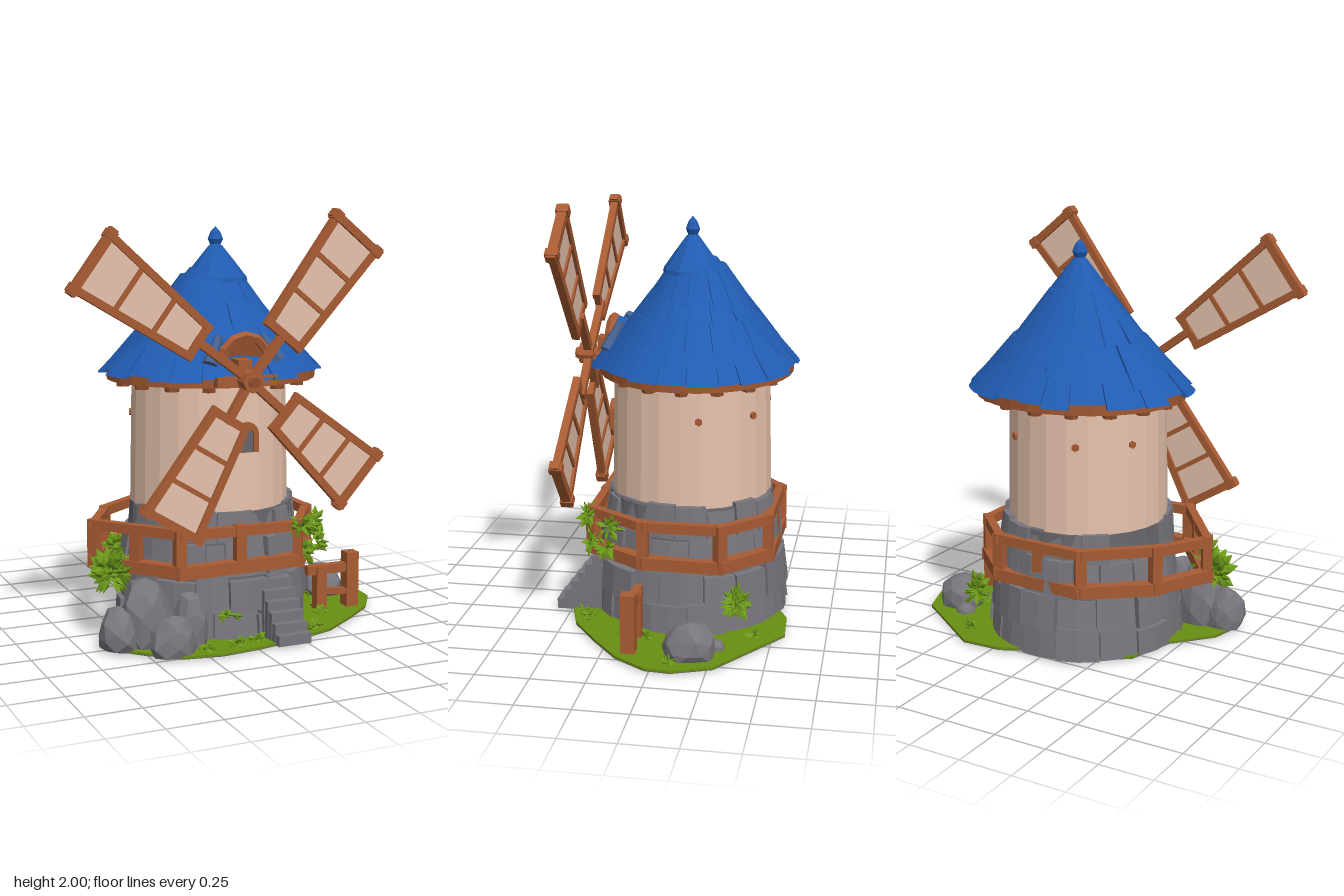
import * as THREE from 'three';
import { mergeGeometries } from 'three/addons/utils/BufferGeometryUtils.js';

const V = (x, y, z) => new THREE.Vector3(x, y, z);
const mat = (name, color) => {
  const m = new THREE.MeshStandardMaterial({ color });
  m.name = name;
  return m;
};

export function createModel() {
  const root = new THREE.Group();
  root.name = 'windmill';
  const blue = mat('roofBlue', 0x215cb2), slate = mat('slateBlue', 0x45608f), wood = mat('wood', 0xa75b33);
  const darkWood = mat('darkWood', 0x8f4e2c), plaster = mat('plaster', 0xe6c2ac), stone = mat('stone', 0x78767d);
  const darkStone = mat('darkStone', 0x66656b), grass = mat('grass', 0x688f12), leaf = mat('leaf', 0x6c9a1a);
  const earth = mat('earth', 0x66655a);

  let seed = 7;
  const rnd = (a = 0, b = 1) => {
    seed = (seed * 16807) % 2147483647;
    return a + (b - a) * (seed / 2147483647);
  };

  // Faceted copy of a geometry, ready for merging
  const flat = (g) => {
    const f = g.index ? g.toNonIndexed() : g;
    f.deleteAttribute('uv');
    f.computeVertexNormals();
    return f;
  };
  const add = (name, geos, material, parent = root) => {
    const mesh = new THREE.Mesh(mergeGeometries([].concat(geos).map(flat)), material);
    mesh.name = name;
    parent.add(mesh);
  };
  const box = (w, h, d, x, y, z) => new THREE.BoxGeometry(w, h, d).translate(x, y, z);
  // Straight beam between two points
  const beam = (p, q, h, w, up = V(0, 1, 0)) => {
    const x = q.clone().sub(p), len = x.length();
    x.normalize();
    const z = x.clone().cross(up).normalize(), y = z.clone().cross(x);
    const m = new THREE.Matrix4().makeBasis(x, y, z).setPosition(p.clone().add(q).multiplyScalar(0.5));
    return new THREE.BoxGeometry(len, h, w).applyMatrix4(m);
  };
  // Block bent around the vertical axis; lo and hi are [inner radius, outer radius, y]
  const block = (a0, a1, lo, hi) => {
    const g = new THREE.BoxGeometry(1, 1, 1, 2, 1, 1), p = g.attributes.position;
    for (let i = 0; i < p.count; i++) {
      const a = a0 + (a1 - a0) * (p.getX(i) + 0.5), e = p.getY(i) > 0 ? hi : lo;
      const r = p.getZ(i) > 0 ? e[1] : e[0];
      p.setXYZ(i, Math.sin(a) * r, e[2], Math.cos(a) * r);
    }
    return g;
  };
  // Uneven angles around a full circle
  const splits = (n) => {
    const off = rnd(0, 1), a = [];
    for (let i = 0; i < n; i++) a.push((i + off + rnd(-0.25, 0.25)) / n * Math.PI * 2);
    return [...a, a[0] + Math.PI * 2];
  };

  // Ground
  const outline = [[0.1, -0.5], [0.2, -0.55], [0.4, -0.56], [0.6, -0.42], [0.8, -0.28], [0.87, -0.1], [0.86, 0.02],
    [0.76, 0.17], [0.6, 0.3], [0.42, 0.43], [0.2, 0.5], [0, 0.55], [-0.2, 0.57], [-0.38, 0.54], [-0.52, 0.42],
    [-0.66, 0.27], [-0.62, 0.1], [-0.46, -0.08], [-0.39, -0.32], [-0.16, -0.48]];
  const plate = (depth, y) => new THREE.ExtrudeGeometry(
    new THREE.Shape(outline.map(([x, z]) => new THREE.Vector2(x, -z))), { depth, bevelEnabled: false })
    .rotateX(-Math.PI / 2).translate(0, y, 0);
  add('groundUnderside', plate(0.004, 0), earth);
  add('ground', plate(0.01, 0.004), grass);

  // Stone base: core with courses of uneven blocks
  const base = new THREE.Group();
  base.name = 'stoneBase';
  base.position.set(0.01, 0, -0.06);
  root.add(base);
  add('baseCore', new THREE.CylinderGeometry(0.395, 0.44, 0.59, 24).translate(0, 0.3, 0), darkStone, base);
  const courses = [[0.004, 0.14, 0.475, 0.465], [0.14, 0.3, 0.465, 0.45], [0.3, 0.46, 0.445, 0.425], [0.46, 0.605, 0.42, 0.408]];
  const blocks = [];
  courses.forEach(([y0, y1, r0, r1], k) => {
    const a = splits(15 + k);
    for (let i = 0; i < a.length - 1; i++) {
      const j = rnd(-0.016, 0.012), t = k < 3 ? rnd(-0.025, 0.02) : rnd(-0.02, 0.012);
      blocks.push(block(a[i] + 0.006, a[i + 1] - 0.006, [0.34, r0 + j, y0], [0.34, r1 + j + rnd(-0.012, 0.006), y1 + t]));
    }
  });
  add('baseBlocks', blocks, stone, base);

  // Steps
  const steps = [];
  for (let i = 0; i < 6; i++) {
    const h = 0.05 + i * 0.045, z = 0.565 - i * 0.034;
    steps.push(box(0.165, h, z - 0.32, 0.165 - i * 0.003, h / 2 + 0.004, (z + 0.32) / 2));
  }
  add('steps', steps, stone);

  // Tower wall
  add('towerWall', new THREE.CylinderGeometry(0.372, 0.384, 0.62, 24).translate(0, 0.9, -0.06), plaster);
  const studs = [1.8, 2.55, 3.5, 4.2].map((a, i) => new THREE.CylinderGeometry(0.018, 0.018, 0.02, 6)
    .rotateX(Math.PI / 2).translate(0, 1.01, 0.376).rotateY(a + i * 0.01).translate(0, 0, -0.06));
  add('wallStuds', studs, wood);

  // Small arched window
  const arch = (w, h) => {
    const s = new THREE.Shape().moveTo(-w, 0).lineTo(w, 0).lineTo(w, h);
    s.absarc(0, h, w, 0, Math.PI, false);
    return s.lineTo(-w, 0);
  };
  const frame = arch(0.056, 0.085);
  frame.holes.push(arch(0.03, 0.08));
  add('windowFrame', new THREE.ExtrudeGeometry(frame, { depth: 0.045, bevelEnabled: false, curveSegments: 5 })
    .translate(0.03, 0.875, 0.285), wood);
  add('windowPane', new THREE.ExtrudeGeometry(arch(0.035, 0.08), { depth: 0.008, bevelEnabled: false, curveSegments: 5 })
    .translate(0.03, 0.875, 0.312), darkStone);

  // Roof
  const roof = new THREE.Group();
  roof.name = 'roof';
  roof.position.set(0.025, 0, -0.085);
  roof.scale.set(1.05, 1, 0.94);
  root.add(roof);
  add('roofCore', new THREE.CylinderGeometry(0.1, 0.475, 0.48, 24).translate(0, 1.47, 0), blue, roof);
  const rows = [[1.225, 0.505, 1.35, 0.39, 22], [1.3, 0.432, 1.46, 0.3, 19], [1.405, 0.34, 1.56, 0.218, 16], [1.51, 0.252, 1.68, 0.13, 12]];
  const shingles = [];
  rows.forEach(([y0, r0, y1, r1, n], k) => {
    const a = splits(n);
    for (let i = 0; i < n; i++) {
      const d = k ? rnd(-0.03, 0.02) : rnd(-0.012, 0.012), j = rnd(0, 0.016);
      shingles.push(block(a[i] + 0.003, a[i + 1] - 0.003, [r0 - d - 0.035, r0 - d + j, y0 + d], [r1 - 0.04, r1 + j, y1]));
    }
  });
  add('shingles', shingles, blue, roof);
  const top = [[0, 1.63], [0.15, 1.645], [0.145, 1.665], [0.085, 1.745], [0.034, 1.81], [0.024, 1.82], [0.036, 1.845], [0.022, 1.88], [0, 1.905]];
  add('roofCapAndFinial', new THREE.LatheGeometry(top.map(([r, y]) => new THREE.Vector2(r, y)), 10).translate(0.014, 0, 0.02), blue, roof);

  // Eave ring and the beam ends under it
  const eaves = [], ends = [];
  for (let i = 0; i < 16; i++) {
    const a = i / 16 * Math.PI * 2;
    eaves.push(block(a, a + Math.PI / 8, [0.34, 0.488, 1.185], [0.34, 0.492, 1.235]));
    ends.push(new THREE.CylinderGeometry(0.035, 0.032, 0.03, 6).translate(0, 1.175, 0.43).rotateY(a));
  }
  add('eaveRing', eaves, wood, roof);
  add('beamEnds', ends, darkWood, roof);

  // Dormer hood over the axle
  add('dormerHood', new THREE.CylinderGeometry(0.115, 0.13, 0.19, 8, 1, false, -Math.PI / 2, Math.PI).rotateX(-Math.PI / 2)
    .translate(0.02, 1.29, 0.215), blue);
  add('dormerArch', new THREE.TorusGeometry(0.118, 0.024, 5, 6, Math.PI).translate(0.02, 1.295, 0.315), wood);
  add('dormerBack', new THREE.CircleGeometry(0.12, 8, 0, Math.PI).translate(0.02, 1.285, 0.312), darkWood);
  add('dormerSideTiles', [-1, 1].map((s) => new THREE.CylinderGeometry(0.02, 0.04, 0.15, 6)
    .rotateX(-0.35).rotateZ(s * 0.5).translate(0.02 + s * 0.14, 1.35, 0.285)), slate);
  add('axleSupport', [box(0.3, 0.05, 0.08, 0, 1.215, 0.35), box(0.07, 0.07, 0.16, -0.016, 1.28, 0.32)], wood);

  // Sails: [angle in degrees, inner reach, outer reach, inner width, outer width]
  const sails = new THREE.Group();
  sails.name = 'sails';
  sails.position.set(-0.016, 1.225, 0.455);
  root.add(sails);
  const cyl = (r, len, z, n) => new THREE.CylinderGeometry(r, r, len, n).rotateX(Math.PI / 2).translate(0, 0, z);
  add('hub', [cyl(0.052, 0.07, 0, 8), cyl(0.03, 0.26, -0.08, 8)], wood, sails);
  add('hubCap', cyl(0.024, 0.03, 0.043, 8), darkWood, sails);
  const F = V(0, 0, 1);
  for (const [deg, r0, r1, w0, w1] of [[51, 0.26, 0.838, 0.19, 0.26], [143.7, 0.32, 0.922, 0.15, 0.28],
    [238.5, 0.2, 0.735, 0.17, 0.28], [318.5, 0.235, 0.74, 0.175, 0.285]]) {
    const g = new THREE.Group();
    g.name = 'sail';
    g.rotation.z = deg * Math.PI / 180;
    sails.add(g);
    const half = (x) => (w0 + (w1 - w0) * (x - r0) / (r1 - r0)) / 2;
    const bars = [beam(V(0, 0, -0.008), V(r0 + 0.02, 0, -0.008), 0.036, 0.036, F)];
    for (const s of [-1, 1]) bars.push(beam(V(r0 - 0.02, s * half(r0), 0), V(r1 + 0.015, s * half(r1), 0), 0.036, 0.034, F));
    for (let i = 0; i < 4; i++) {
      const x = r0 + (r1 - r0) * i / 3, e = half(x) + (i === 3 ? 0.03 : 0);
      const t = i % 3 ? 0.022 : 0.038;
      bars.push(beam(V(x, -e, 0), V(x, e, 0), i === 3 ? 0.044 : 0.028, t, F));
    }
    for (const s of [-1, 1]) bars.push(box(0.048, 0.04, 0.058, r1, s * half(r1), 0));
    add('sailFrame', bars, wood, g);
    const s = new THREE.Shape().moveTo(r0, -half(r0)).lineTo(r1, -half(r1)).lineTo(r1, half(r1)).lineTo(r0, half(r0));
    add('sailCloth', new THREE.ExtrudeGeometry(s, { depth: 0.008, bevelEnabled: false }).translate(0, 0, -0.004), plaster, g);
  }

  // Railing around the base
  const ring = [[-0.61, 0], [-0.33, 0.375], [0.27, 0.375], [0.45, 0.1], [0.45, -0.26], [0.25, -0.46], [-0.2, -0.47], [-0.47, -0.25]];
  const rails = [], posts = [];
  ring.forEach(([x, z], i) => {
    const [u, w] = ring[(i + 1) % ring.length], p = V(x, 0, z), q = V(u, 0, w);
    const d = q.clone().sub(p).normalize().multiplyScalar(0.02);
    const at = (v, y, s) => v.clone().addScaledVector(d, s).setY(y);
    rails.push(beam(at(p, 0.35, -1), at(q, 0.35 + rnd(-0.01, 0.01), 1), 0.058, 0.06));
    rails.push(beam(at(p, 0.525, -1), at(q, 0.525 + rnd(-0.01, 0.01), 1), 0.046, 0.04));
    const n = Math.max(1, Math.round(p.distanceTo(q) / 0.29));
    for (let k = 0; k < n; k++) {
      const c = p.clone().lerp(q, k / n);
      posts.push(new THREE.BoxGeometry(0.052, 0.21, 0.045).rotateY(Math.atan2(-d.z, d.x)).translate(c.x, 0.445, c.z));
    }
  });
  add('rails', rails, wood);
  add('railPosts', posts, wood);

  // Short fence at the side
  add('fence', [box(0.066, 0.28, 0.066, 0.695, 0.15, 0.12), box(0.055, 0.22, 0.055, 0.525, 0.12, 0.12),
    beam(V(0.45, 0.215, 0.12), V(0.73, 0.215, 0.12), 0.045, 0.04),
    beam(V(0.5, 0.11, 0.13), V(0.7, 0.09, 0.13), 0.03, 0.03)], wood);

  // Boulders
  const boulder = (x, z, rx, h, rz) => {
    const g = new THREE.IcosahedronGeometry(1, 1), p = g.attributes.position;
    for (let i = 0; i < p.count; i++) {
      const a = p.getX(i), b = p.getY(i), c = p.getZ(i);
      const k = 0.95 + 0.1 * Math.sin(a * 5 + x * 40 + b * 3) * Math.cos(c * 4 + z * 30);
      p.setXYZ(i, x + a * k * rx, Math.max(0.004, h * (0.25 + 0.72 * b * k)), z + c * k * rz);
    }
    return g;
  };
  add('boulders', [boulder(0.68, -0.16, 0.12, 0.18, 0.13), boulder(-0.59, 0.27, 0.1, 0.21, 0.12), boulder(-0.46, 0.27, 0.13, 0.34, 0.14),
    boulder(-0.4, 0.46, 0.12, 0.2, 0.09), boulder(-0.29, 0.4, 0.09, 0.3, 0.08), boulder(0.6, -0.26, 0.05, 0.06, 0.05)], stone);

  // Bushes, ivy and grass tufts: pointed leaves around a centre
  const bush = (x, y, z, rx, ry, rz, n, size = 0.05) => {
    const out = [];
    for (let i = 0; i < n; i++) {
      const t = rnd(0, Math.PI * 2), c = rnd(-0.8, 1), s = Math.sqrt(1 - c * c), dir = V(s * Math.cos(t), c, s * Math.sin(t));
      const r = rnd(0.35, 0.75);
      out.push(new THREE.OctahedronGeometry(1).scale(size * 0.55, size, size * 0.3)
        .applyQuaternion(new THREE.Quaternion().setFromUnitVectors(V(0, 1, 0), dir))
        .translate(x + dir.x * rx * r, y + dir.y * ry * r, z + dir.z * rz * r));
    }
    return out;
  };
  add('bushes', [...bush(-0.58, 0.32, 0.14, 0.11, 0.12, 0.12, 80, 0.045), ...bush(0.29, 0.51, 0.39, 0.09, 0.06, 0.05, 36, 0.032),
    ...bush(0.31, 0.38, 0.38, 0.05, 0.08, 0.04, 18, 0.032), ...bush(0.42, 0.5, 0.27, 0.05, 0.07, 0.08, 16, 0.03),
    ...bush(0.43, 0.4, 0.28, 0.04, 0.08, 0.06, 16, 0.03), ...bush(0.47, 0.18, -0.34, 0.06, 0.11, 0.07, 50, 0.033),
    ...bush(-0.56, 0.44, 0.12, 0.05, 0.09, 0.06, 18, 0.035)], leaf);
  const tufts = [[0.5, 0.2], [0.54, 0.07], [0.36, 0.38], [0.3, 0.42], [-0.1, 0.49], [-0.25, 0.51], [0.57, -0.12], [0.45, -0.42], [0.8, -0.08], [0.02, 0.46]];
  add('grassTufts', tufts.flatMap(([x, z]) => bush(x, 0.026, z, 0.05, 0.03, 0.04, 12, 0.022)), leaf);
  add('moss', bush(-0.1, 0.13, 0.405, 0.08, 0.04, 0.02, 14, 0.022), leaf);

  return root;
}
